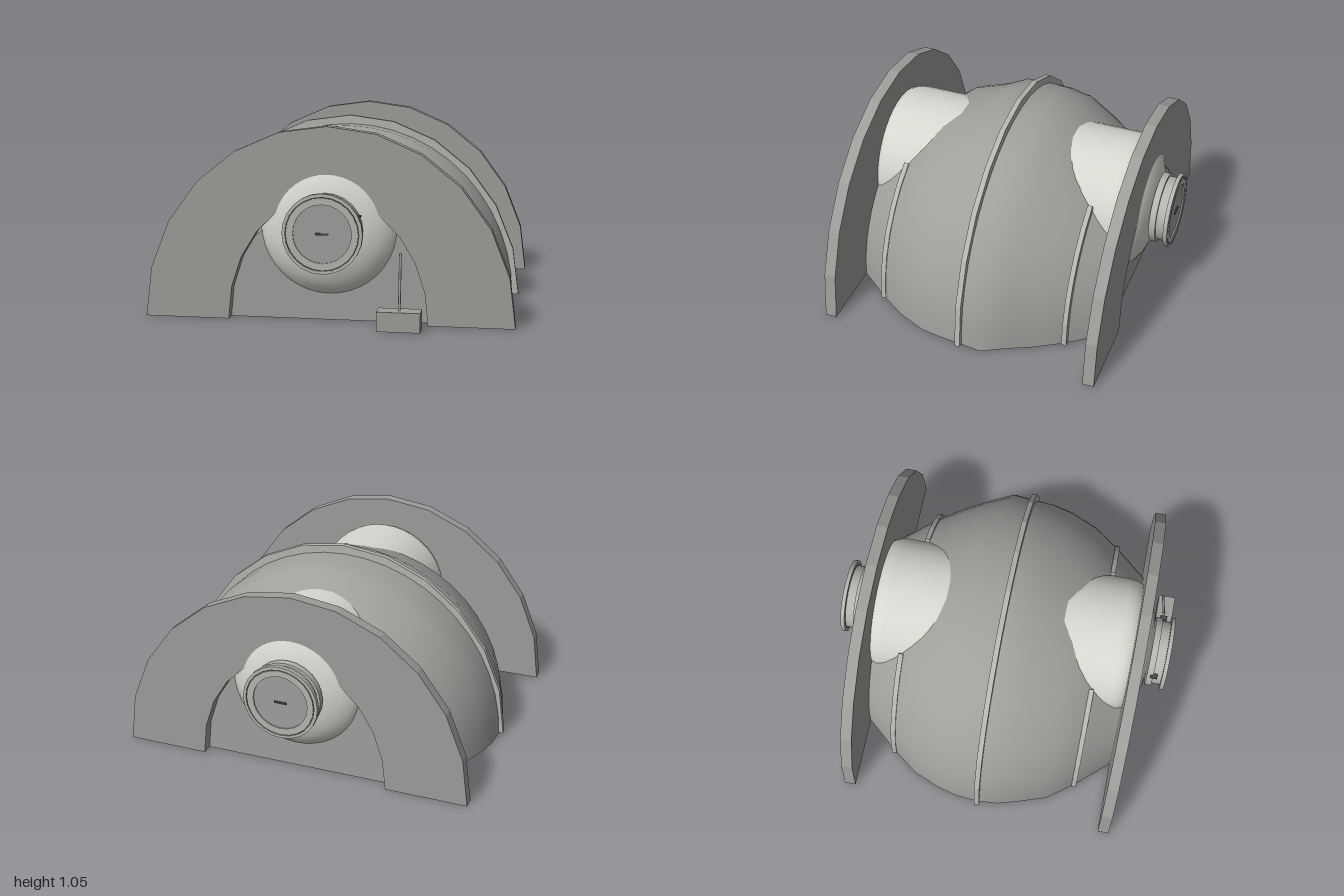
import * as THREE from 'three';

const mat = (name, color, side = THREE.FrontSide) => {
  const m = new THREE.MeshStandardMaterial({ color, side });
  m.name = name;
  return m;
};

// Half-elliptical band between two ellipses, over an angle range
function bandShape(ao, bo, ai, bi, t0, t1, n) {
  const pts = [];
  for (let i = 0; i <= n; i++) {
    const t = t0 + (t1 - t0) * i / n;
    pts.push(new THREE.Vector2(ao * Math.cos(t), bo * Math.sin(t)));
  }
  for (let i = n; i >= 0; i--) {
    const t = t0 + (t1 - t0) * i / n;
    pts.push(new THREE.Vector2(ai * Math.cos(t), bi * Math.sin(t)));
  }
  return new THREE.Shape(pts);
}

// Band extruded along z and centred on the given z
function band(shape, depth, z) {
  const g = new THREE.ExtrudeGeometry(shape, { depth, bevelEnabled: false });
  return g.translate(0, 0, z - depth / 2);
}

// Mound cross-sections: z, half-width at left (+x), half-width at right (-x), height
const SECTIONS = [
  [-0.74, 0.6, 0.59, 0.62], [-0.55, 0.74, 0.75, 0.77], [-0.4, 0.83, 0.86, 0.86],
  [-0.25, 0.9, 0.92, 0.96], [-0.13, 0.965, 0.95, 0.98], [0, 0.95, 0.96, 0.985],
  [0.12, 0.94, 0.95, 0.985], [0.24, 0.92, 0.915, 0.925], [0.4, 0.85, 0.86, 0.88],
  [0.55, 0.75, 0.75, 0.77], [0.74, 0.6, 0.58, 0.62]
];
const ARC = 24;

const moundPoint = ([z, aL, aR, b], t) => {
  const c = Math.cos(t);
  return [(c > 0 ? aL : aR) * c, b * Math.sin(t), z];
};

function buildGeometry(positions, index) {
  const g = new THREE.BufferGeometry();
  g.setAttribute('position', new THREE.Float32BufferAttribute(positions, 3));
  g.setIndex(index);
  g.computeVertexNormals();
  return g;
}

function moundShell() {
  const pos = [], idx = [], w = ARC + 1;
  SECTIONS.forEach((s, i) => {
    for (let j = 0; j <= ARC; j++) {
      pos.push(...moundPoint(s, Math.PI * j / ARC));
      if (i < SECTIONS.length - 1 && j < ARC) {
        const a = i * w + j;
        idx.push(a, a + 1, a + w + 1, a, a + w + 1, a + w);
      }
    }
  });
  return buildGeometry(pos, idx);
}

function moundBase() {
  const pos = [], idx = [];
  SECTIONS.forEach(([z, aL, aR], i) => {
    pos.push(-aR, 0, z, aL, 0, z);
    const k = i * 2;
    if (i < SECTIONS.length - 1) idx.push(k, k + 1, k + 3, k, k + 3, k + 2);
  });
  return buildGeometry(pos, idx);
}

function moundEnd(section) {
  const pts = [];
  for (let j = 0; j <= ARC; j++) {
    const [x, y] = moundPoint(section, Math.PI * j / ARC);
    pts.push(new THREE.Vector2(x, y));
  }
  return new THREE.ShapeGeometry(new THREE.Shape(pts)).translate(0, 0, section[0]);
}

// Lathe turned so that its axis runs along z
function latheZ(profile, segments) {
  const pts = profile.map(([r, z]) => new THREE.Vector2(r, z));
  return new THREE.LatheGeometry(pts, segments).rotateX(Math.PI / 2);
}

export function createModel() {
  const model = new THREE.Group();
  model.name = 'coveredTank';
  const wallMat = mat('wall grey', 0x9f9d9a);
  const moundMat = mat('mound grey', 0xa19f9c, THREE.DoubleSide);
  const tankMat = mat('tank pale grey', 0xd6d8d0);
  const steelMat = mat('steel grey', 0xb4b6b1);
  const lidMat = mat('lid grey', 0x9fa09c);
  const darkMat = mat('dark grey', 0x4a4a48);

  const add = (parent, name, geometry, material) => {
    const m = new THREE.Mesh(geometry, material);
    m.name = name;
    parent.add(m);
    return m;
  };

  // Mound
  add(model, 'moundShell', moundShell(), moundMat);
  add(model, 'moundBase', moundBase(), moundMat);
  add(model, 'moundBackEnd', moundEnd(SECTIONS[0]), moundMat);
  add(model, 'moundFrontEnd', moundEnd(SECTIONS[SECTIONS.length - 1]), moundMat);

  // Arched end walls with an arched opening
  for (const [name, z] of [['frontWall', 0.77], ['backWall', -0.77]]) {
    add(model, name, band(bandShape(1, 1.05, 0.54, 0.68, 0, Math.PI, 12), 0.065, z), wallMat);
  }

  // Ribs over the mound: one full, four that stop beside the tank
  add(model, 'middleRib', band(bandShape(0.985, 1.035, 0.92, 0.96, 0.01, Math.PI - 0.01, 12), 0.03, 0), steelMat);
  const stop = Math.acos(0.36 / 0.765);
  for (const z of [0.55, -0.55]) {
    add(model, 'leftRib', band(bandShape(0.765, 0.79, 0.72, 0.74, 0.01, stop, 6), 0.028, z), steelMat);
    add(model, 'rightRib', band(bandShape(0.765, 0.79, 0.72, 0.74, Math.PI - stop, Math.PI - 0.01, 6), 0.028, z), steelMat);
  }

  // Tank with domed ends
  const half = [[0.39, 0.66], [0.385, 0.7], [0.37, 0.735], [0.335, 0.772], [0.285, 0.803], [0.22, 0.828], [0.14, 0.845], [0, 0.85]];
  const profile = [...half.map(([r, z]) => [r, -z]).reverse(), ...half];
  add(model, 'tank', latheZ(profile, 40), tankMat).position.y = 0.51;

  // Necks and hatches at both ends
  for (const side of ['front', 'back']) {
    const hatch = new THREE.Group();
    hatch.name = side + 'Hatch';
    hatch.position.y = 0.505;
    if (side === 'back') hatch.rotation.y = Math.PI;
    const ring = (name, r, z0, z1, inner, material) => add(hatch, name,
      latheZ([[inner, z0], [r, z0], [r, z0], [r, z1], [r, z1], [inner, z1], [inner, z1], [inner, z0]], 24), material);
    ring('neckFlange', 0.2, 0.845, 0.882, 0.1, steelMat);
    ring('neck', 0.185, 0.882, 0.932, 0.155, steelMat);
    ring('outerLip', 0.213, 0.932, 0.955, 0.197, steelMat);
    ring('lipGroove', 0.198, 0.932, 0.95, 0.188, darkMat);
    ring('innerLip', 0.19, 0.932, 0.955, 0.155, steelMat);
    const lid = add(hatch, 'lid', new THREE.CylinderGeometry(0.157, 0.157, 0.06, 24), lidMat);
    lid.rotation.x = Math.PI / 2;
    lid.position.z = 0.918;
    add(hatch, 'lidHandle', new THREE.BoxGeometry(0.07, 0.01, 0.008), darkMat).position.z = 0.951;
    model.add(hatch);
  }

  // Small lugs on the front neck
  for (const s of [-1, 1]) {
    add(model, 'neckLug', new THREE.BoxGeometry(0.03, 0.008, 0.04), darkMat).position.set(s * 0.18, 0.593, 0.885);
  }

  // Control box with a leaning rod
  add(model, 'controlBox', new THREE.BoxGeometry(0.23, 0.105, 0.1), wallMat).position.set(0.4, 0.0525, 0.91);
  const rodPath = new THREE.LineCurve3(new THREE.Vector3(0.4, 0.09, 0.908), new THREE.Vector3(0.4, 0.4, 0.87));
  add(model, 'controlRod', new THREE.TubeGeometry(rodPath, 1, 0.007, 8), lidMat);

  return model;
}
